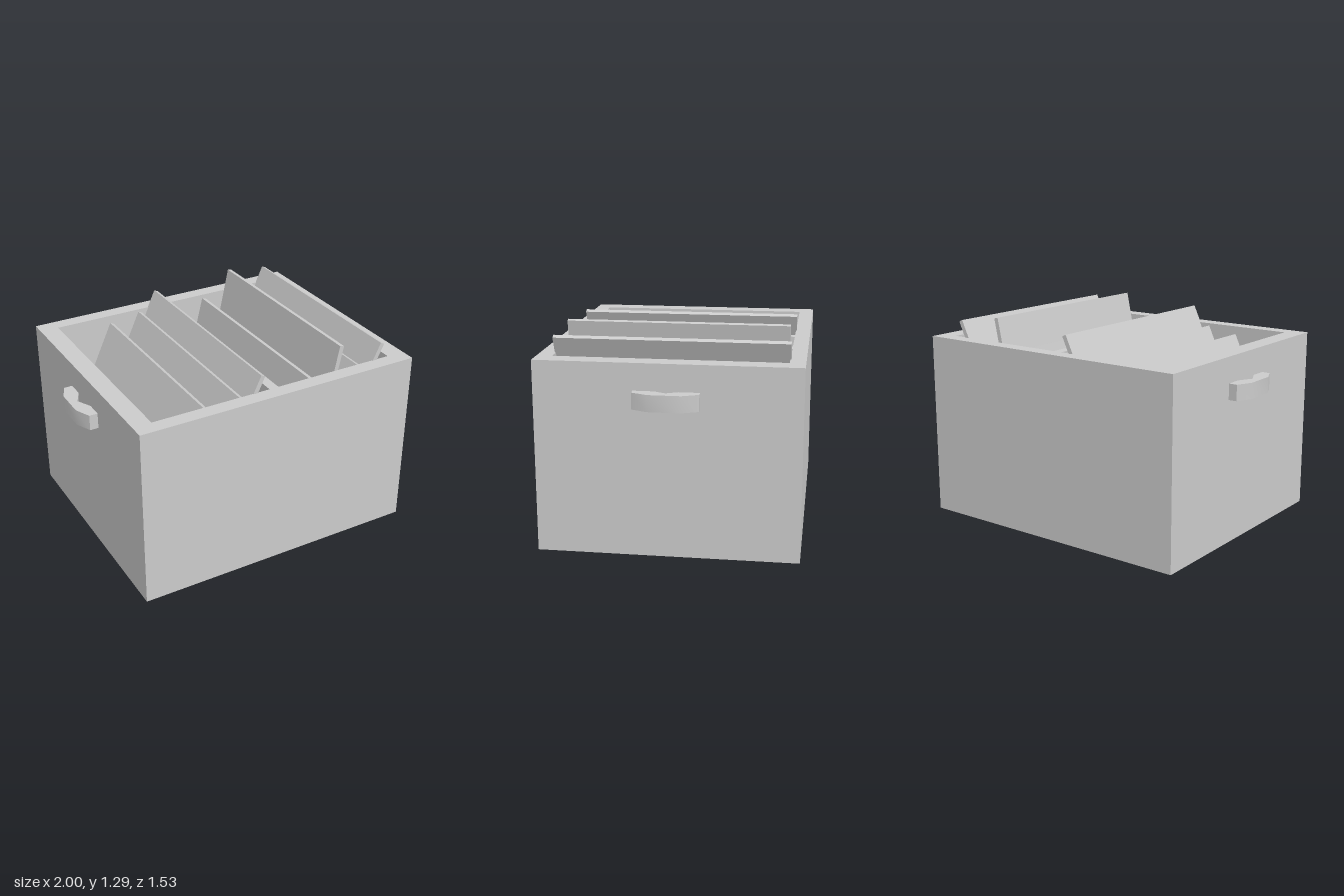
import * as THREE from 'three';
import { toCreasedNormals } from 'three/addons/utils/BufferGeometryUtils.js';

const material = new THREE.MeshStandardMaterial({ color: 0xcccccc });

function addMesh(parent, name, geometry, x = 0, y = 0, z = 0) {
  const mesh = new THREE.Mesh(geometry, material);
  mesh.name = name;
  mesh.position.set(x, y, z);
  parent.add(mesh);
  return mesh;
}

// Extrudes a plan outline (x, z) upward by the given height.
function extrudeUp(shape, height) {
  return new THREE.ExtrudeGeometry(shape, { depth: height, bevelEnabled: false }).rotateX(-Math.PI / 2);
}

function rectangle(Path, x0, x1, halfZ) {
  return new Path([[x0, -halfZ], [x1, -halfZ], [x1, halfZ], [x0, halfZ]].map(([x, z]) => new THREE.Vector2(x, z)));
}

export function createModel() {
  const model = new THREE.Group();
  model.name = 'fileBox';

  // Open case: four walls and a floor
  const floorY = 0.09;
  const walls = rectangle(THREE.Shape, -0.905, 0.915, 0.763);
  walls.holes.push(rectangle(THREE.Path, -0.79, 0.8, 0.672));
  addMesh(model, 'walls', extrudeUp(walls, 1.14));
  addMesh(model, 'floor', new THREE.BoxGeometry(1.59, floorY, 1.344), 0.005, floorY / 2);

  // Upright partition between the two compartments
  addMesh(model, 'partition', new THREE.BoxGeometry(0.06, 1.13 - floorY, 1.344), 0, (1.13 + floorY) / 2);

  // Leaning folders: left edge of the top, height of the top, lean in degrees, half depth
  const folders = [
    [-0.43, 1.09, 25, 0.67],
    [-0.225, 1.125, 25, 0.67],
    [-0.1, 1.248, 25, 0.678],
    [0.255, 1.115, 14, 0.67],
    [0.45, 1.288, 12, 0.66],
    [0.608, 1.11, 25, 0.67],
    [0.735, 1.248, 25, 0.678],
  ];
  const thickness = 0.028;
  for (const [x, top, degrees, halfZ] of folders) {
    const lean = THREE.MathUtils.degToRad(degrees);
    const length = (top - floorY - 0.01) / Math.cos(lean);
    // Pivot at the top left edge so the sheet hangs down from it
    const sheet = new THREE.BoxGeometry(thickness, length, halfZ * 2).translate(thickness / 2, -length / 2, 0);
    addMesh(model, 'folder', sheet, x, top, 0).rotation.z = -lean;
  }

  // Bowed grip on each end
  const outline = [
    [0.9, -0.19], [0.957, -0.19], [1, -0.095], [1, 0.095], [0.957, 0.19],
    [0.9, 0.19], [0.9, 0.1], [0.95, 0], [0.9, -0.1],
  ];
  const grip = new THREE.Shape(outline.map(([x, z]) => new THREE.Vector2(x, z)));
  const gripGeometry = toCreasedNormals(extrudeUp(grip, 0.097), 0.7);
  addMesh(model, 'leftHandle', gripGeometry, 0, 0.885);
  addMesh(model, 'rightHandle', gripGeometry, 0, 0.885).rotation.y = Math.PI;

  return model;
}
